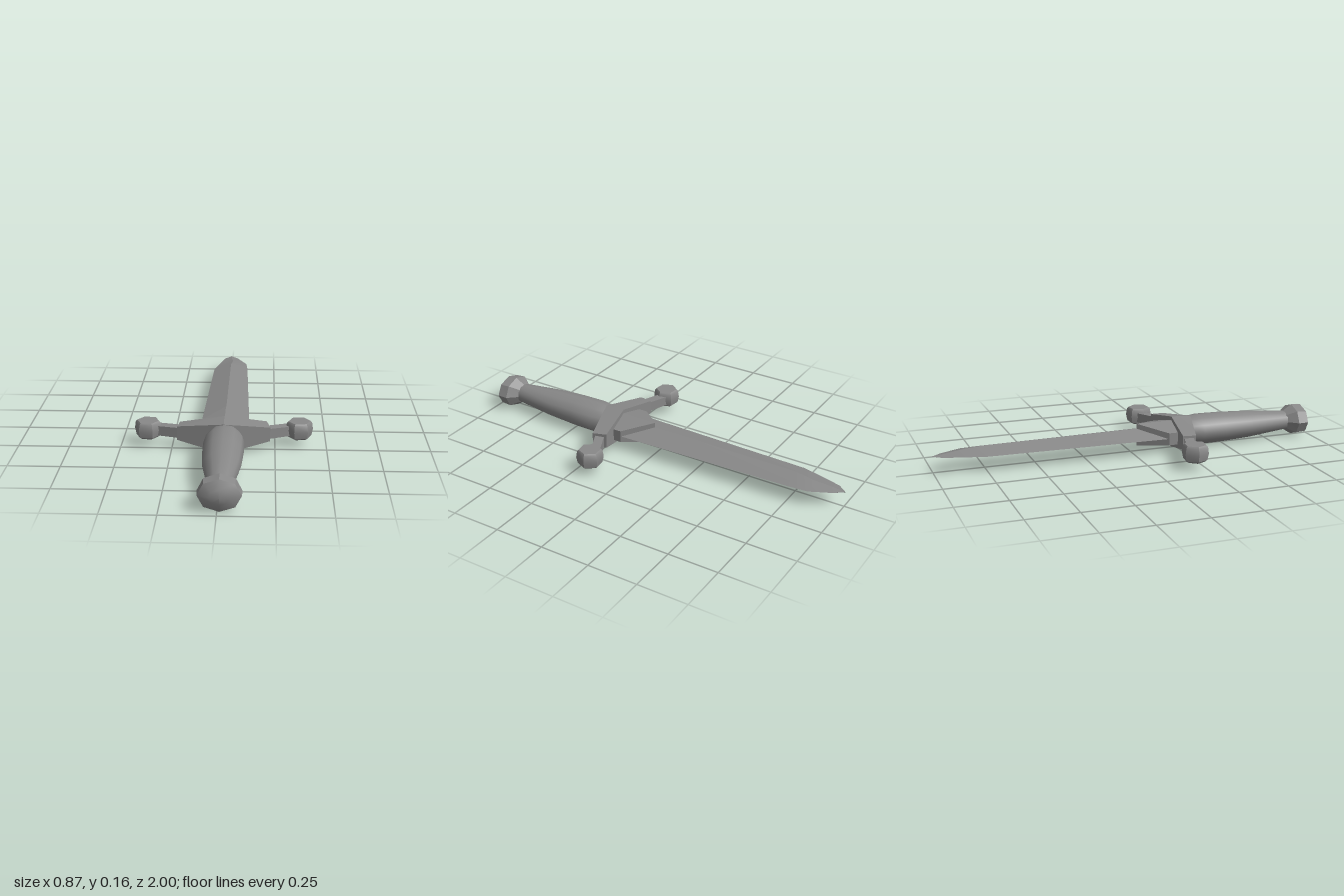
import * as THREE from 'three';
import { toCreasedNormals, mergeVertices } from 'three/addons/utils/BufferGeometryUtils.js';

const MID = 0.082; // height of the dagger's central plane

// Skin a list of equal-length point rings, close both ends, face outward.
function loft(rings, crease = 0.3) {
  const n = rings[0].length;
  const tris = [];
  for (let r = 0; r < rings.length - 1; r++) {
    for (let i = 0; i < n; i++) {
      const j = (i + 1) % n;
      const [a, b, c, d] = [rings[r][i], rings[r][j], rings[r + 1][j], rings[r + 1][i]];
      tris.push([a, b, c], [a, c, d]);
    }
  }
  const first = rings[0], last = rings[rings.length - 1];
  for (let i = 1; i < n - 1; i++) {
    tris.push([first[0], first[i + 1], first[i]], [last[0], last[i], last[i + 1]]);
  }
  let volume = 0;
  const pos = [];
  for (const [a, b, c] of tris) {
    const [A, B, C] = [a, b, c].map((p) => new THREE.Vector3(...p));
    if (B.clone().sub(A).cross(C.clone().sub(A)).length() < 1e-9) continue;
    volume += A.dot(B.cross(C));
    pos.push([a, b, c]);
  }
  const flat = pos.flatMap(([a, b, c]) => (volume < 0 ? [a, c, b] : [a, b, c])).flat();
  const geo = new THREE.BufferGeometry();
  geo.setAttribute('position', new THREE.Float32BufferAttribute(flat, 3));
  return toCreasedNormals(mergeVertices(geo), crease);
}

// Elliptical ring across z.
const oval = (z, rx, ry, sides, cx = 0.008) => Array.from({ length: sides }, (_, i) => {
  const a = (i / sides) * Math.PI * 2;
  return [cx + rx * Math.cos(a), MID + ry * Math.sin(a), z];
});

// Rectangular ring across x.
const slab = (x, z0, z1, y0, y1) => [[x, y0, z0], [x, y1, z0], [x, y1, z1], [x, y0, z1]];

export function createModel() {
  const group = new THREE.Group();
  const steel = new THREE.MeshStandardMaterial({ color: 0x888888 });
  steel.name = 'grey steel';
  const add = (name, geo) => {
    const mesh = new THREE.Mesh(geo, steel);
    mesh.name = name;
    group.add(mesh);
    return mesh;
  };

  // Blade: diamond section [z, left edge, right edge, half thickness]
  const blade = [
    [0.25, -0.118, 0.127, 0.036],
    [-0.75, -0.09, 0.098, 0.029],
    [-0.85, -0.065, 0.09, 0.018],
    [-0.955, -0.036, 0.04, 0.006],
    [-1.0, 0.001, 0.003, 0.001],
  ].map(([z, l, r, h]) => {
    const c = (l + r) / 2;
    return [[l, MID, z], [c, MID + h, z], [r, MID, z], [c, MID - h, z]];
  });
  add('blade', loft(blade, 0.15));

  // Pointed collar over the root of the blade
  add('bladeCollar', loft([
    slab(-0.118, 0.165, 0.25, 0.05, 0.112),
    slab(0.005, 0.035, 0.25, 0.028, 0.142),
    slab(0.127, 0.165, 0.25, 0.05, 0.112),
  ], 0.1));

  // Swept crossguard
  add('guard', loft([
    [[-0.222, 0.05, 0.265], [-0.222, 0.12, 0.265], [-0.212, 0.12, 0.2], [-0.212, 0.05, 0.2]],
    [[0.005, 0.007, 0.33], [0.005, 0.157, 0.33], [0.005, 0.162, 0.225], [0.005, 0.003, 0.225]],
    [[0.226, 0.05, 0.265], [0.226, 0.12, 0.265], [0.21, 0.125, 0.193], [0.21, 0.05, 0.193]],
  ], 0.1));

  // Arms and six-sided knobs at both ends of the guard
  for (const [side, name, z] of [[-1, 'right', 0.198], [1, 'left', 0.182]]) {
    add(name + 'GuardArm', loft([
      slab(side * 0.2, 0.212, 0.262, 0.057, 0.109),
      slab(side * 0.33, z - 0.03, z + 0.02, 0.055, 0.103),
    ], 0.1));
    const knob = [[0.04, 0.045], [0.05, 0.06], [0.083, 0.067], [0.116, 0.062], [0.125, 0.054]];
    const rings = knob.map(([y, r]) => Array.from({ length: 6 }, (_, i) => {
      const a = (i / 6) * Math.PI * 2 + side * -0.12;
      return [side * 0.368 + r * Math.cos(a), y, z + r * Math.sin(a)];
    }));
    add(name + 'GuardKnob', loft(rings, 0.6));
  }

  // Swelling oval grip
  add('grip', loft([
    oval(0.27, 0.07, 0.06, 12),
    oval(0.32, 0.083, 0.072, 12),
    oval(0.375, 0.098, 0.078, 12),
    oval(0.5, 0.096, 0.076, 12),
    oval(0.65, 0.088, 0.068, 12),
    oval(0.88, 0.054, 0.048, 12, 0.01),
  ], 0.7));

  // Eight-sided pommel with a low domed end
  add('pommel', loft([
    oval(0.865, 0.054, 0.048, 8, 0.011),
    oval(0.915, 0.098, 0.08, 8, 0.011),
    oval(0.968, 0.096, 0.075, 8, 0.011),
    oval(0.99, 0.045, 0.035, 8, 0.011),
    oval(0.997, 0.002, 0.002, 8, 0.011),
  ], 0.5));

  return group;
}
